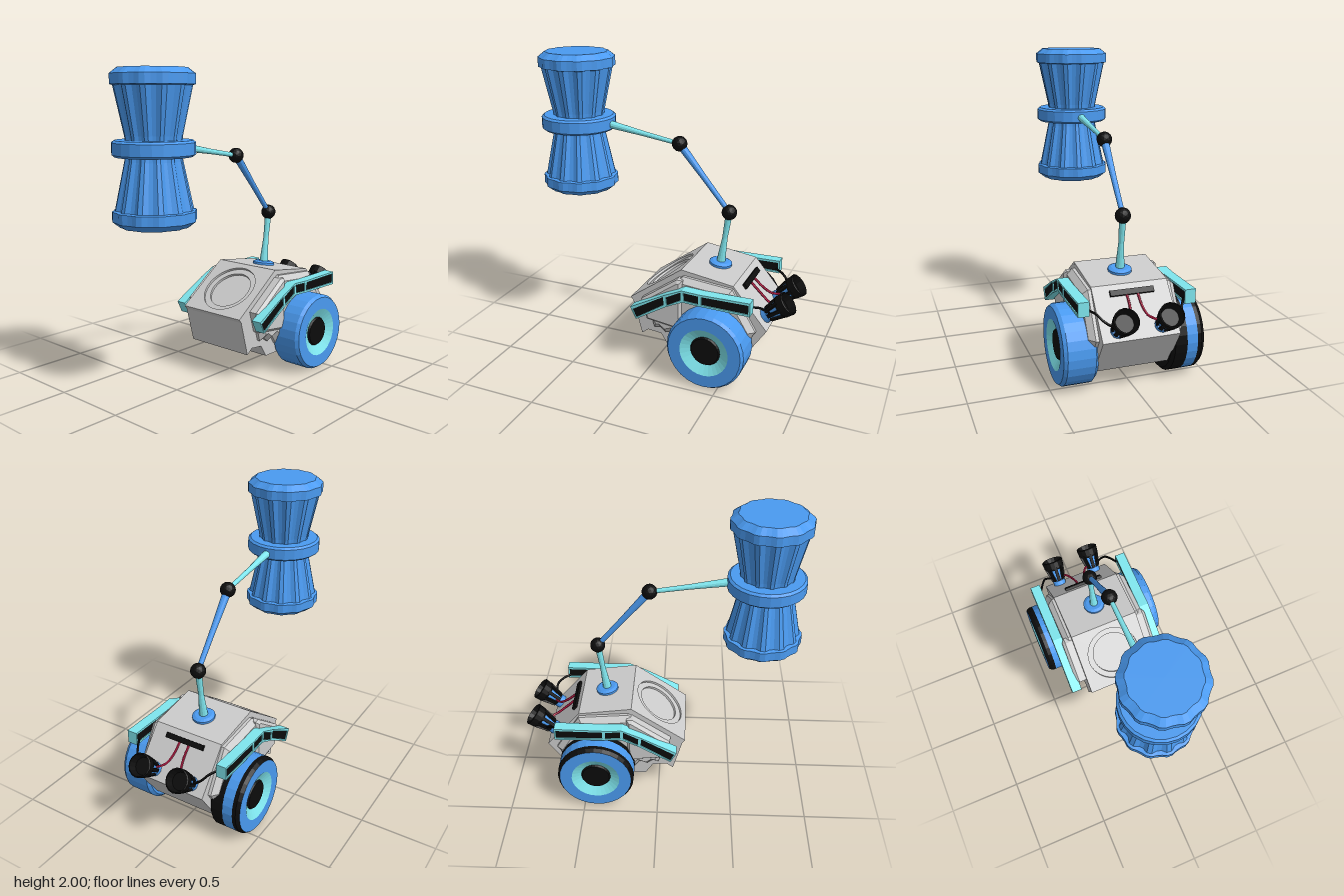
import * as THREE from 'three';

const material = (color) => new THREE.MeshStandardMaterial({ color, flatShading: true, side: THREE.DoubleSide });
const V = (x, y, z) => new THREE.Vector3(x, y, z);
const UP = V(0, 1, 0);

export function createModel() {
  const model = new THREE.Group();
  const grey = material(0xcccccc), blue = material(0x4a9af0), cyan = material(0x7fe6ee);
  const black = material(0x0c0c0c), red = material(0xd02050);

  const add = (name, geometry, mat, parent = model) => {
    const mesh = new THREE.Mesh(geometry, mat);
    mesh.name = name;
    parent.add(mesh);
    return mesh;
  };
  const group = (name) => {
    const g = new THREE.Group();
    g.name = name;
    model.add(g);
    return g;
  };
  const lathe = (points, sides) => new THREE.LatheGeometry(points.map(p => new THREE.Vector2(...p)), sides);
  const shapeOf = (points) => new THREE.Shape(points.map(p => new THREE.Vector2(...p)));

  // Side profile of (z, y) points, extruded across x and centred on x = 0
  const slab = (shape, width, bevel = 0) => {
    const g = new THREE.ExtrudeGeometry(shape, {
      depth: width - 2 * bevel, bevelEnabled: bevel > 0, bevelSegments: 1,
      bevelSize: bevel, bevelThickness: bevel, bevelOffset: -bevel,
    });
    g.translate(0, 0, -(width - 2 * bevel) / 2);
    return g.rotateY(-Math.PI / 2);
  };

  // Hull core and the narrower-profiled side armour
  add('hullCore', slab(shapeOf([
    [0.162, 0.416], [0.1, 0.185], [0.055, 0.22], [-0.04, 0.21], [-0.09, 0.13], [-0.59, 0.13],
    [-0.755, 0.38], [-0.53, 0.65], [-0.18, 0.7], [-0.198, 0.676],
  ]), 0.49), grey);
  add('hullSides', slab(shapeOf([
    [0.06, 0.46], [0, 0.26], [-0.04, 0.27], [-0.08, 0.24], [-0.13, 0.26], [-0.17, 0.2],
    [-0.58, 0.2], [-0.69, 0.37], [-0.53, 0.635], [-0.2, 0.665],
  ]), 0.6, 0.035), grey);
  add('shoulderArmour', slab(shapeOf([
    [0.08, 0.47], [0.04, 0.33], [-0.21, 0.3], [-0.21, 0.65], [-0.17, 0.65],
  ]), 0.635, 0.02), grey);

  // Sloping front plate with a two-step round recess
  const front = group('frontPlate');
  front.position.set(0, 0.57, 0);
  front.rotation.x = -0.945;
  [[0.185, -0.015], [0.145, -0.03]].forEach(([r, z]) => {
    const plate = shapeOf([[-0.245, -0.222], [0.245, -0.222], [0.245, 0.222], [-0.245, 0.222]]);
    plate.holes.push(new THREE.Path().absarc(0, 0, r, 0, Math.PI * 2, true));
    const g = new THREE.ExtrudeGeometry(plate, { depth: 0.015, bevelEnabled: false, curveSegments: 32 });
    add('recessStep', g.translate(0, 0, z), grey, front);
  });

  // Fenders: bent frames with dark inset panels
  const upper = [[0.125, 0.435], [-0.115, 0.565], [-0.235, 0.62], [-0.355, 0.615], [-0.68, 0.62]];
  const lower = [[0.085, 0.355], [-0.125, 0.485], [-0.24, 0.54], [-0.355, 0.535], [-0.68, 0.53]];
  const fenderOutline = [...upper, ...lower.slice().reverse()];
  const panels = upper.slice(0, -1).map((a, i) => {
    const q = [a, upper[i + 1], lower[i + 1], lower[i]];
    const cz = q.reduce((s, p) => s + p[0], 0) / 4, half = Math.abs(a[0] - upper[i + 1][0]) / 2;
    const mid = (t, b, k) => [cz + (t[0] + (b[0] - t[0]) * k - cz) * (1 - 0.01 / half), t[1] + (b[1] - t[1]) * k];
    return [mid(q[0], q[3], 0.16), mid(q[1], q[2], 0.16), mid(q[1], q[2], 0.84), mid(q[0], q[3], 0.84)];
  });
  for (const s of [1, -1]) {
    const fender = group(s > 0 ? 'leftFender' : 'rightFender');
    fender.position.x = s * 0.337;
    const frame = shapeOf(fenderOutline);
    panels.forEach(p => frame.holes.push(new THREE.Path(p.map(c => new THREE.Vector2(...c)))));
    add('fenderFrame', slab(frame, 0.07), cyan, fender);
    panels.forEach(p => add('fenderPanel', slab(shapeOf(p), 0.056), black, fender));
  }

  // Wheels: tread bands, rim face, dished ring and hub
  for (const s of [1, -1]) {
    const wheel = group(s > 0 ? 'leftWheel' : 'rightWheel');
    wheel.position.set(0, 0.26, -0.415);
    const edge = s > 0 ? blue : black;
    const ring = (name, pts, mat) => add(name, lathe(pts, 28).rotateZ(-s * Math.PI / 2), mat, wheel);
    ring('innerTread', [[0, 0.235], [0.235, 0.235], [0.255, 0.255], [0.255, 0.335]], edge);
    ring('middleTread', [[0.255, 0.335], [0.255, 0.405]], blue);
    ring('outerTread', [[0.255, 0.405], [0.255, 0.43], [0.24, 0.452]], edge);
    ring('rimFace', [[0.24, 0.452], [0.16, 0.452]], blue);
    ring('dishedRing', [[0.16, 0.452], [0.098, 0.42]], cyan);
    ring('hub', [[0.098, 0.42], [0.09, 0.432], [0, 0.432]], black);
  }

  // Rear thrusters with ribs and cables
  const out = V(0, 0.64, -0.77).normalize();
  for (const s of [1, -1]) {
    const thruster = group(s > 0 ? 'leftThruster' : 'rightThruster');
    thruster.position.set(s * 0.14, 0.433, -0.716);
    thruster.quaternion.setFromUnitVectors(UP, out);
    add('collar', lathe([[0.046, -0.02], [0.046, 0.03], [0, 0.03]], 16), blue, thruster);
    add('cone', lathe([[0.035, 0.03], [0.042, 0.045], [0.064, 0.15]], 16), blue, thruster);
    add('cup', lathe([[0.06, 0.12], [0.073, 0.135], [0.078, 0.185], [0.07, 0.19], [0.055, 0.14], [0, 0.14]], 16), black, thruster);
    for (let i = 0; i < 8; i++) {
      const a = i * Math.PI / 4;
      const rib = new THREE.BoxGeometry(0.022, 0.11, 0.014);
      rib.rotateX(0.2).translate(0, 0.088, 0.056).rotateY(a);
      add('rib', rib, black, thruster);
    }
    const cable = (name, pts, mat) => add(name, new THREE.TubeGeometry(
      new THREE.CatmullRomCurve3(pts.map(([x, y, z]) => V(s * x, y, z))), 16, 0.008, 6), mat);
    cable('redCable', [[0.035, 0.6, -0.58], [0.038, 0.545, -0.64], [0.055, 0.5, -0.7], [0.08, 0.49, -0.735], [0.11, 0.475, -0.745]], red);
    cable('blackCable', [[0.16, 0.47, -0.74], [0.2, 0.49, -0.755], [0.24, 0.52, -0.75], [0.27, 0.55, -0.71], [0.3, 0.56, -0.66]], black);
  }
  const bar = add('rearSocketBar', new THREE.BoxGeometry(0.28, 0.03, 0.035), black);
  bar.position.set(0, 0.607, -0.57);
  bar.quaternion.setFromUnitVectors(UP, out);

  // Jointed arm
  const mount = add('armMount', lathe([[0.075, -0.015], [0.075, 0.012], [0.055, 0.022], [0, 0.022]], 20), blue);
  mount.position.set(0, 0.677, -0.36);
  mount.rotation.x = -0.14;
  const shoulder = V(0, 0.68, -0.36), elbow = V(0, 1.04, -0.41), wrist = V(0, 1.455, -0.065), grip = V(0, 1.535, 0.43);
  const limb = (name, a, b, [r0, r1, r2], mat) => {
    const d = b.clone().sub(a), len = d.length();
    const mesh = add(name, lathe([[r0, 0], [r1, len * 0.5], [r2, len]], 12), mat);
    mesh.position.copy(a);
    mesh.quaternion.setFromUnitVectors(UP, d.normalize());
  };
  limb('lowerArm', shoulder, elbow, [0.03, 0.018, 0.023], cyan);
  limb('middleArm', elbow, wrist, [0.016, 0.019, 0.027], blue);
  limb('upperArm', wrist, grip, [0.014, 0.017, 0.026], cyan);
  for (const p of [elbow, wrist]) add('joint', new THREE.IcosahedronGeometry(0.05, 2), black).position.copy(p);

  // Hammer: two fluted bells mirrored about a central band
  const hammer = group('hammer');
  hammer.position.set(0, 1.54, 0.66);
  const sides = 48;
  for (const s of [1, -1]) {
    const bell = lathe([[0.165, 0.02], [0.172, 0.075], [0.233, 0.36], [0.25, 0.365], [0.25, 0.425], [0.205, 0.46], [0, 0.46]], sides);
    const pos = bell.attributes.position;
    for (let i = 0; i < pos.count; i++) {
      const x = pos.getX(i), z = pos.getZ(i), y = pos.getY(i);
      const step = Math.round(Math.atan2(x, z) / (2 * Math.PI) * sides + sides) % 4;
      const k = step < 2 ? 1 : y < 0.362 ? 0.92 : 0.965;
      pos.setXYZ(i, x * k, y, z * k);
    }
    if (s < 0) bell.rotateX(Math.PI);
    add(s > 0 ? 'upperBell' : 'lowerBell', bell, blue, hammer);
  }
  add('centreBand', lathe([[0.16, -0.048], [0.23, -0.048], [0.246, -0.035], [0.246, 0.035], [0.23, 0.048], [0.16, 0.048]], 24), blue, hammer);

  return model;
}
